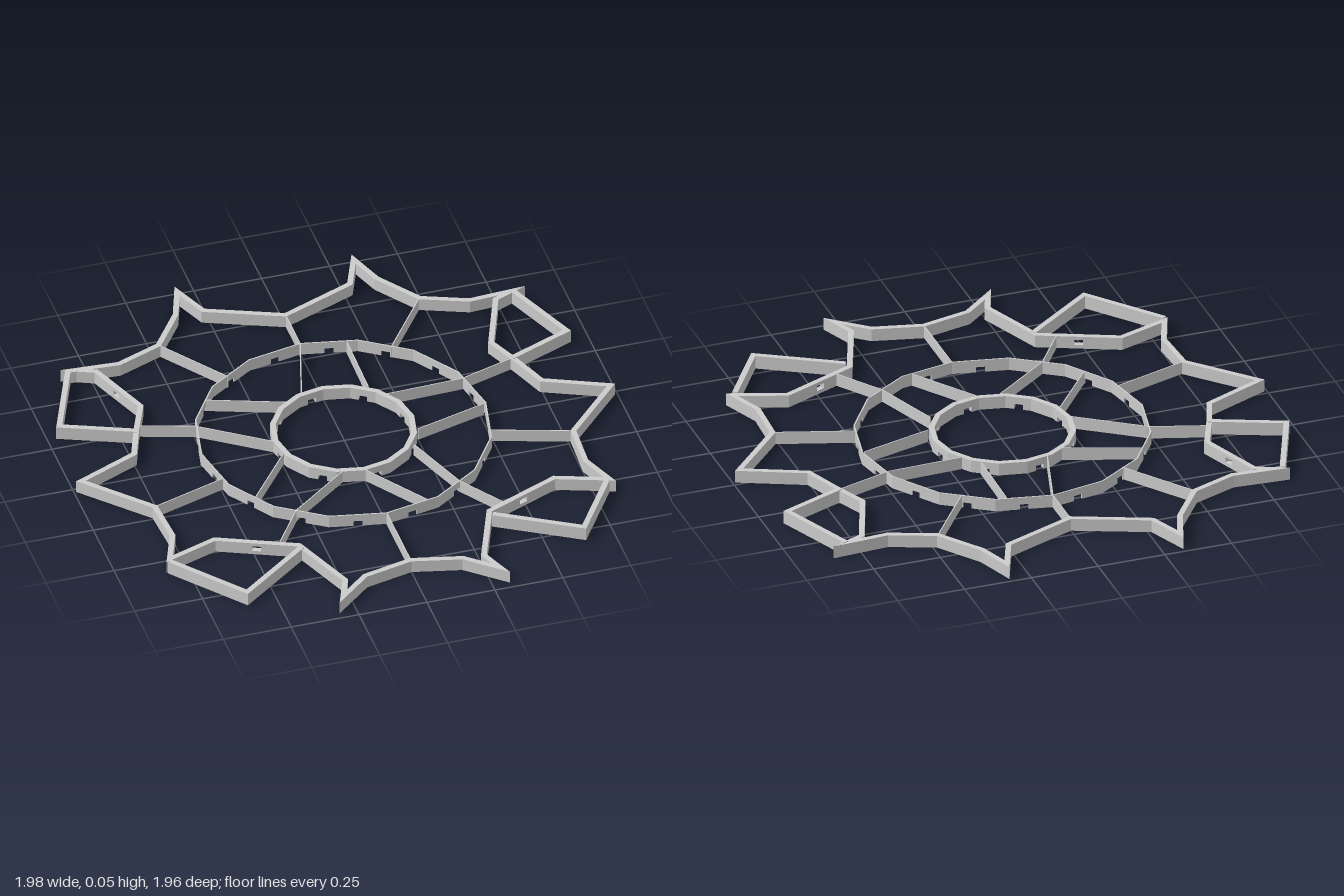
import * as THREE from 'three';

const H = 0.047; // wall height
const material = new THREE.MeshStandardMaterial({ color: 0xcccccc, flatShading: true });

// Wall elevation: a long rectangle with an optional bottom notch or window
function elevation(length, height, cut) {
  const s = new THREE.Shape();
  const m = length / 2, w = 0.016;
  s.moveTo(0, 0);
  if (cut === 'notch') {
    s.lineTo(m - w, 0);
    s.lineTo(m - w, 0.02);
    s.lineTo(m + w, 0.02);
    s.lineTo(m + w, 0);
  }
  s.lineTo(length, 0);
  s.lineTo(length, height);
  s.lineTo(0, height);
  s.closePath();
  if (cut === 'window') {
    const hole = new THREE.Path();
    hole.moveTo(m - w, 0.014);
    hole.lineTo(m - w, 0.034);
    hole.lineTo(m + w, 0.034);
    hole.lineTo(m + w, 0.014);
    hole.closePath();
    s.holes.push(hole);
  }
  return s;
}

// Vertical wall following plan points [x, z], with mitred corners
function wall(name, points, thickness, { closed = false, height = H, cut = () => null } = {}) {
  const group = new THREE.Group();
  group.name = name;
  const n = points.length, count = closed ? n : n - 1;
  const angles = [];
  for (let i = 0; i < count; i++) {
    const a = points[i], b = points[(i + 1) % n];
    angles.push(Math.atan2(b[1] - a[1], b[0] - a[0]));
  }
  // Slope of the mitre cut between segments i and j
  const mitre = (i, j) => {
    if (!closed && (i < 0 || j >= count)) return 0;
    const turn = angles[(j + count) % count] - angles[(i + count) % count];
    const wrapped = Math.atan2(Math.sin(turn), Math.cos(turn));
    return THREE.MathUtils.clamp(Math.tan(wrapped / 2), -5, 5);
  };
  for (let i = 0; i < count; i++) {
    const a = points[i], b = points[(i + 1) % n];
    const length = Math.hypot(b[0] - a[0], b[1] - a[1]);
    const geo = new THREE.ExtrudeGeometry(elevation(length, height, cut(i)), { depth: thickness, bevelEnabled: false });
    geo.translate(0, 0, -thickness / 2);
    const start = mitre(i - 1, i), end = mitre(i, i + 1);
    const p = geo.attributes.position;
    for (let k = 0; k < p.count; k++) {
      const x = p.getX(k), z = p.getZ(k);
      if (x < 1e-5) p.setX(k, x + z * start);
      else if (x > length - 1e-5) p.setX(k, x - z * end);
    }
    geo.computeVertexNormals();
    const mesh = new THREE.Mesh(geo, material);
    mesh.name = `${name}Segment`;
    mesh.position.set(a[0], 0, a[1]);
    mesh.rotation.y = -angles[i];
    group.add(mesh);
  }
  return group;
}

const ringPoints = (radius, z0) => Array.from({ length: 16 }, (_, i) => {
  const t = (i / 16) * Math.PI * 2;
  return [Math.sin(t) * radius, z0 - Math.cos(t) * radius];
});

export function createModel() {
  const model = new THREE.Group();
  model.name = 'starFrame';

  // Spiked outer outline, right half from back to front
  const half = [
    [0, -0.71], [0.27, -0.82], [0.325, -0.955], [0.37, -0.825], [0.48, -0.67],
    [0.645, -0.605], [0.805, -0.615], [0.735, -0.585], [0.645, -0.345], [0.70, -0.215],
    [0.75, -0.08], [0.975, 0.02], [0.77, 0.24], [0.76, 0.42], [0.81, 0.55],
    [0.625, 0.485], [0.35, 0.605], [0.255, 0.85], [0.29, 0.94], [0.18, 0.845], [0, 0.803],
  ];
  const mirrored = half.slice(1, -1).reverse().map(([x, z]) => [-x, z]);
  const outline = [...half, ...mirrored];
  const windows = [7, 15, outline.length - 8, outline.length - 16];
  model.add(wall('outerWall', outline, 0.02, {
    closed: true,
    cut: (i) => (windows.includes(i) ? 'window' : null),
  }));

  // Angular pockets standing outside the outline
  const pockets = [
    ['backLeftPocket', [[0.805, -0.615], [0.92, -0.33], [0.69, -0.235]]],
    ['backRightPocket', [[-0.83, -0.615], [-0.955, -0.31], [-0.70, -0.205]]],
    ['frontLeftPocket', [[0.795, 0.56], [0.64, 0.798], [0.355, 0.63]]],
    ['frontRightPocket', [[-0.815, 0.565], [-0.607, 0.82], [-0.345, 0.62]]],
  ];
  for (const [name, points] of pockets) model.add(wall(name, points, 0.02, { height: 0.05 }));
  // Short link closing the back right pocket
  model.add(wall('pocketLink', [[-0.83, -0.615], [-0.80, -0.613]], 0.02));

  // Sixteen-sided rings with cable notches underneath
  model.add(wall('hubRing', ringPoints(0.25, -0.01), 0.02, {
    closed: true, cut: (i) => (i % 2 ? 'notch' : null),
  }));
  model.add(wall('middleRing', ringPoints(0.523, -0.01), 0.005, {
    closed: true, cut: () => 'notch',
  }));

  // Thin ribs from the middle ring to the outer wall
  const outerRibs = [
    [[0, -0.71], [0, -0.533]], [[0, 0.803], [0, 0.513]],
    ...[1, -1].flatMap((s) => [
      [[s * 0.48, -0.67], [s * 0.30, -0.42]],
      [[s * 0.69, -0.235], [s * 0.485, -0.17]],
      [[s * 0.77, 0.24], [s * 0.49, 0.15]],
      [[s * 0.415, 0.575], [s * 0.30, 0.405]],
    ]),
  ];
  for (const rib of outerRibs) model.add(wall('outerRib', rib, 0.004));

  // Slanted thin ribs between the hub and the middle ring
  const innerRibs = [
    [[0, -0.533], [-0.08, -0.255]], [[0.16, -0.495], [0.155, -0.22]],
    [[0.487, -0.17], [0.205, -0.16]], [[0.515, -0.005], [0.25, 0.07]],
    [[0.30, 0.405], [0.21, 0.155]], [[0.16, 0.478], [0, 0.245]],
    [[-0.30, 0.405], [-0.08, 0.235]], [[-0.415, 0.29], [-0.245, 0.07]],
    [[-0.49, -0.17], [-0.255, -0.005]], [[-0.415, -0.31], [-0.145, -0.215]],
  ];
  for (const rib of innerRibs) model.add(wall('innerRib', rib, 0.004));

  return model;
}
